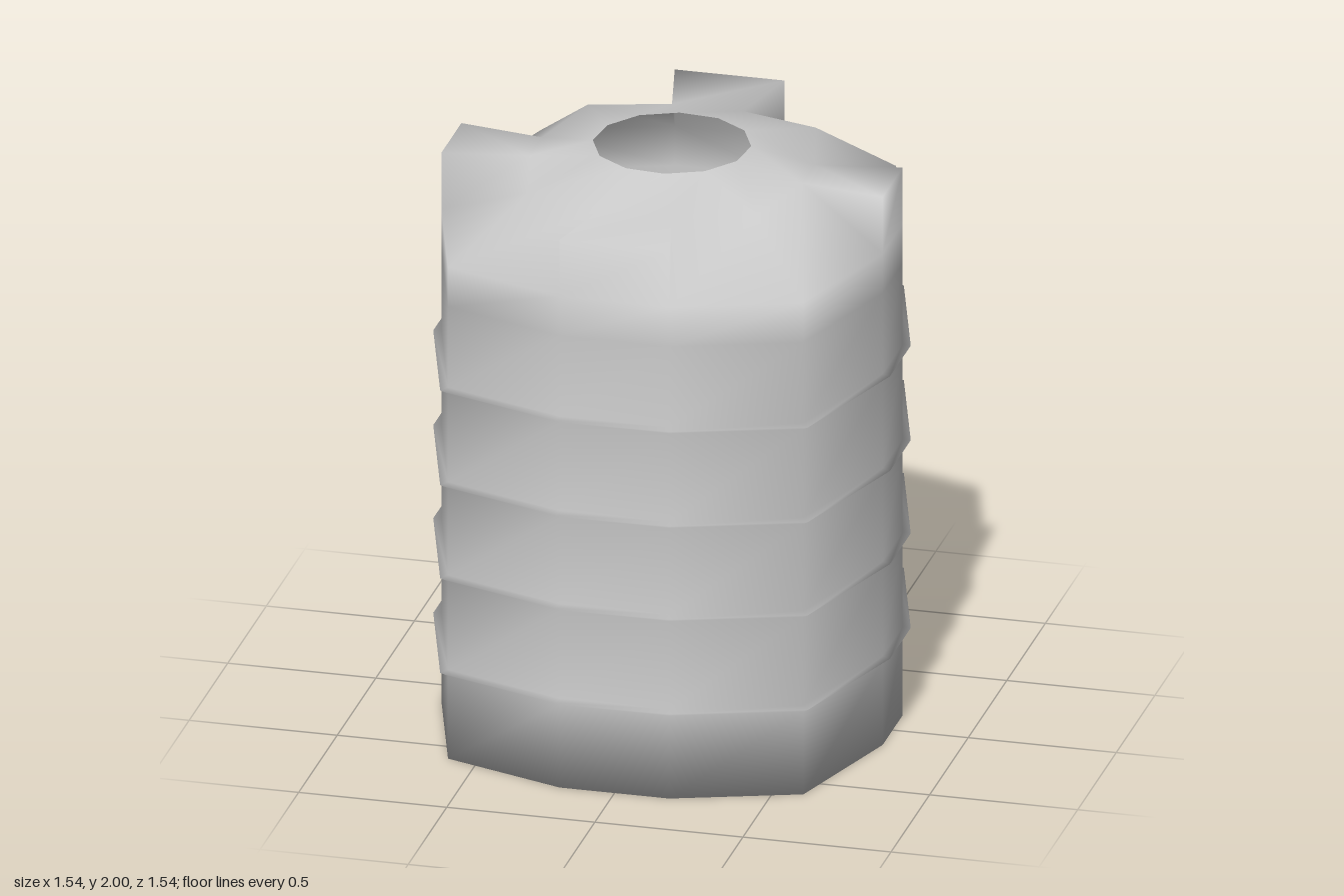
import * as THREE from 'three';

// Corner points of the twelve-sided plan (x, z), running from +x towards +z.
// Every third edge, starting at index 0, carries a lug.
function plan(sideX, sideZ, frontX, frontZ, corner) {
  return [
    [sideX, -sideZ], [sideX, sideZ], [corner, corner],
    [frontX, frontZ], [-frontX, frontZ], [-corner, corner],
    [-sideX, sideZ], [-sideX, -sideZ], [-corner, -corner],
    [-frontX, -frontZ], [frontX, -frontZ], [corner, -corner],
  ];
}

export function createModel() {
  const N = 12;
  const positions = [];
  const parts = { floor: [], walls: [], ribs: [], dome: [], lugs: [] };

  const addPoint = (x, y, z) => positions.push(x, y, z) / 3 - 1;
  const addRing = (points, y, s = 1) => points.map(([x, z]) => addPoint(x * s, y, z * s));
  const quad = (part, a, b, topA, topB) => parts[part].push(a, topA, b, b, topA, topB);
  const band = (part, low, high) => {
    for (let k = 0; k < N; k++) {
      const n = (k + 1) % N;
      quad(part, low[k], low[n], high[k], high[n]);
    }
  };

  const outer = plan(0.745, 0.13, 0.185, 0.745, 0.6);
  const inner = plan(0.46, 0.08, 0.12, 0.46, 0.385);

  // Flat floor
  const base = addRing(outer, 0);
  const centre = addPoint(0, 0, 0);
  for (let k = 0; k < N; k++) parts.floor.push(centre, base[k], base[(k + 1) % N]);

  // Walls with four thin pointed ribs
  let last = base;
  for (const y of [0.31, 0.645, 0.975, 1.31]) {
    const below = addRing(outer, y - 0.017);
    const tip = addRing(outer, y, 1.035);
    const above = addRing(outer, y + 0.005);
    band('walls', last, below);
    band('ribs', below, tip);
    band('ribs', tip, above);
    last = above;
  }
  for (const y of [1.6, 1.74]) {
    const ring = addRing(outer, y);
    band('walls', last, ring);
    last = ring;
  }

  // Dome shoulder, broken by four raised lugs flush with the wall
  const shoulder = addRing(inner, 1.94);
  for (let k = 0; k < N; k++) {
    const n = (k + 1) % N;
    if (k % 3) {
      quad('dome', last[k], last[n], shoulder[k], shoulder[n]);
      continue;
    }
    const [a, b] = [k, n].map((i) => addPoint(outer[i][0], 1.94, outer[i][1]));
    quad('lugs', last[k], last[n], a, b);
    quad('lugs', a, b, shoulder[k], shoulder[n]);
    parts.lugs.push(last[k], shoulder[k], a, last[n], b, shoulder[n]);
  }

  // Upper dome up to the round open manhole
  const hole = [];
  for (let k = 0; k < N; k++) {
    const t = (k * 30 - 9) * Math.PI / 180;
    hole.push([0.26 * Math.cos(t), 0.26 * Math.sin(t)]);
  }
  band('dome', shoulder, addRing(hole, 2));

  // Smooth normals over the whole shell, shared by all parts
  const shell = new THREE.BufferGeometry();
  shell.setAttribute('position', new THREE.Float32BufferAttribute(positions, 3));
  shell.setIndex(Object.values(parts).flat());
  shell.computeVertexNormals();

  const material = new THREE.MeshStandardMaterial({ color: 0xcccccc, side: THREE.DoubleSide });
  const group = new THREE.Group();
  group.name = 'waterTank';
  for (const [name, index] of Object.entries(parts)) {
    const geometry = new THREE.BufferGeometry();
    geometry.setAttribute('position', shell.getAttribute('position'));
    geometry.setAttribute('normal', shell.getAttribute('normal'));
    geometry.setIndex(index);
    const mesh = new THREE.Mesh(geometry, material);
    mesh.name = name;
    group.add(mesh);
  }
  return group;
}
